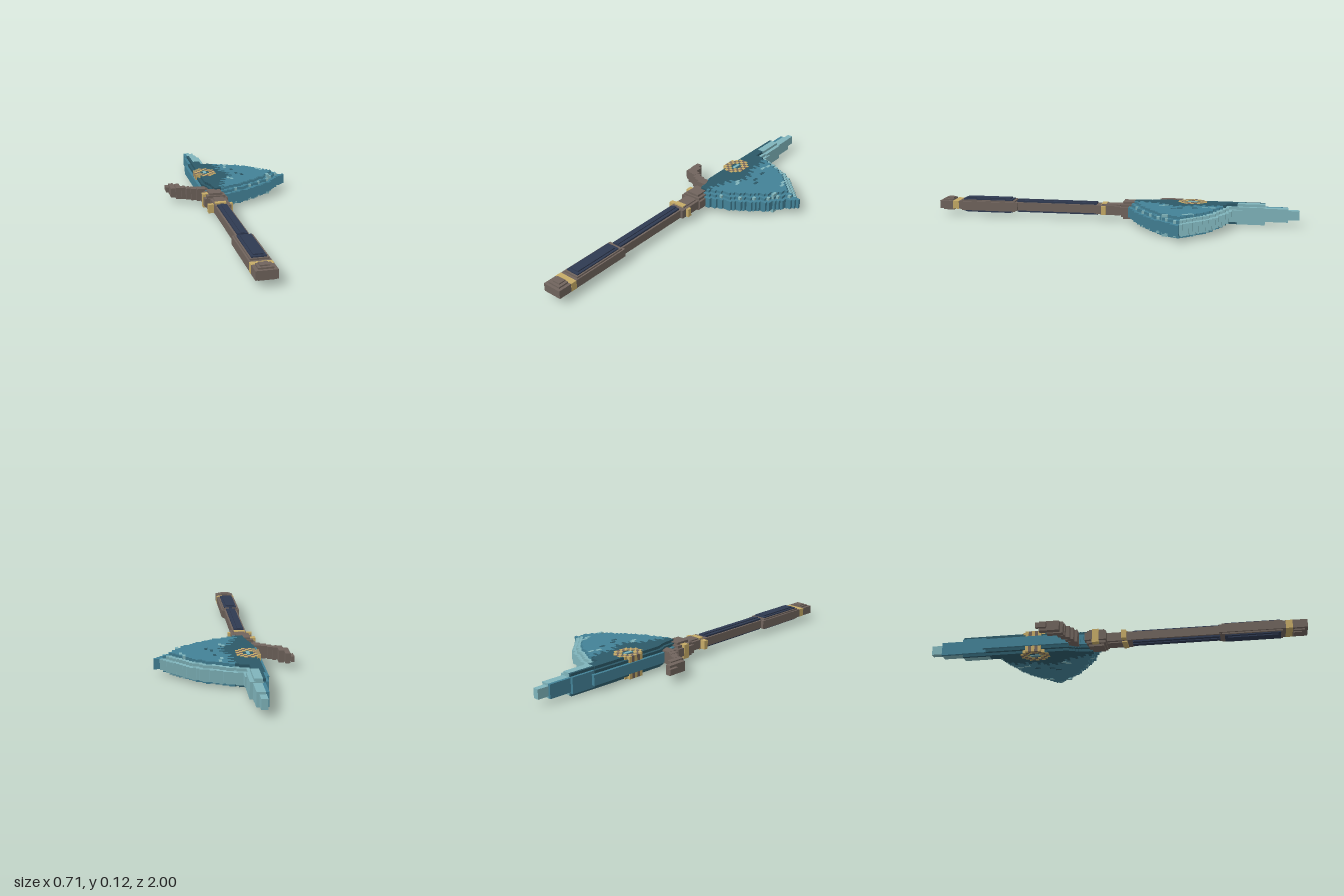
import * as THREE from 'three';
import { mergeGeometries } from 'three/addons/utils/BufferGeometryUtils.js';

const MID = 0.0565; // height of the symmetry plane
const S = 0.0155;   // voxel size

const mat = (name, color) => new THREE.MeshStandardMaterial({ name, color });

// Box from x, y and z ranges
function box(x0, x1, y0, y1, z0, z1) {
  const g = new THREE.BoxGeometry(x1 - x0, y1 - y0, z1 - z0);
  return g.translate((x0 + x1) / 2, (y0 + y1) / 2, (z0 + z1) / 2);
}
// Box centred on the symmetry plane, with half height h
const slab = (x0, x1, h, z0, z1) => box(x0, x1, MID - h, MID + h, z0, z1);

// Piecewise linear lookup of [z, x] points
function lookup(points, z) {
  for (let i = 1; i < points.length; i++) {
    const [z0, x0] = points[i - 1], [z1, x1] = points[i];
    if (z >= z0 && z <= z1) return x0 + (x1 - x0) * (z - z0) / (z1 - z0);
  }
  return -Infinity;
}

const CUTTING_EDGE = [
  [-0.705, -0.055], [-0.645, -0.055], [-0.63, 0], [-0.6, 0.07], [-0.57, 0.14], [-0.53, 0.205],
  [-0.48, 0.25], [-0.43, 0.295], [-0.385, 0.352], [-0.34, 0.3], [-0.29, 0.265], [-0.24, 0.22],
  [-0.19, 0.15], [-0.14, 0.075], [-0.11, 0], [-0.085, -0.055],
];
const BACK_EDGE = [[-0.705, -0.175], [-0.25, -0.175], [-0.2, -0.155], [-0.085, -0.142]];
const DARK_EDGE = [
  [-0.705, -0.07], [-0.62, -0.04], [-0.55, -0.01], [-0.47, -0.02], [-0.4, 0.015],
  [-0.33, 0.02], [-0.27, -0.03], [-0.18, -0.06], [-0.085, -0.09],
];

export function createModel() {
  const mats = {
    brown: mat('brown leather', 0x70645d),
    navy: mat('navy wrap', 0x2f3a52),
    gold: mat('gold', 0xc6ab67),
    teal: mat('teal blade', 0x438297),
    dark: mat('dark teal', 0x2c5968),
    light: mat('light teal edge', 0x7fb4bb),
  };
  const model = new THREE.Group();
  const add = (name, material, ...geos) => {
    if (!geos.length) return;
    const mesh = new THREE.Mesh(mergeGeometries(geos), mats[material]);
    mesh.name = name;
    model.add(mesh);
  };

  // Stepped blade: a thick core and two inset layers on each face
  const blade = { teal: [], dark: [], light: [] };
  const right = (z, k) => {
    const xs = [z - k * S, z, z + k * S].map((q) => lookup(CUTTING_EDGE, q));
    return Math.round((Math.min(...xs) - k * S) / S) * S;
  };
  const layers = [[0, 0, 0.027], [1, 0.027, 0.042], [2, 0.042, 0.0565]];
  for (let row = 0; row < 40; row++) {
    const z0 = -0.705 + row * S, z = z0 + S / 2;
    for (const [k, h0, h1] of layers) {
      const x1 = right(z, k), x0 = lookup(BACK_EDGE, z) + k * S;
      if (!(x1 > x0)) continue;
      const put = (color, a, b) => {
        if (b - a < 0.001) return;
        if (k === 0) blade[color].push(slab(a, b, h1, z0, z0 + S));
        else for (const s of [-1, 1]) {
          const ya = MID + s * h0, yb = MID + s * h1;
          blade[color].push(box(a, b, Math.min(ya, yb), Math.max(ya, yb), z0, z0 + S));
        }
      };
      // bright rim along the rear half of the cutting edge
      const rear = z < -0.4;
      const prev = right(z - S, k);
      let rim = x1;
      if (k < 2 && rear) rim = Math.max(x0, Math.min(x1, Number.isFinite(prev) ? prev : x1) - S);
      else if (k === 1 && row % 3 === 0) rim = Math.max(x0, x1 - S);
      // ragged border between the dark and the bright face
      const jag = Math.round(Math.sin(row * 2.3) * 1.3) * S;
      const d = k === 0 ? x0 : Math.min(rim, Math.max(x0, lookup(DARK_EDGE, z) + jag));
      put('dark', x0, d);
      put('teal', d, rim);
      put('light', rim, x1);
    }
  }
  add('bladeBody', 'teal', ...blade.teal);
  add('bladeShade', 'dark', ...blade.dark);
  add('bladeRim', 'light', ...blade.light);

  // Flecks on both blade faces
  const flecks = { light: [], dark: [] };
  const spots = [
    [0.2, -0.46, 'light'], [0.215, -0.43, 'light'], [0.23, -0.33, 'light'], [-0.005, -0.31, 'light'],
    [0.01, -0.29, 'light'], [0.02, -0.52, 'light'], [0.06, -0.39, 'dark'], [0.05, -0.47, 'dark'],
    [0.085, -0.36, 'dark'], [0.03, -0.56, 'light'],
  ];
  for (const [x, z, c] of spots)
    flecks[c].push(slab(x, x + S, 0.0575, z, z + 2 * S));
  add('lightFlecks', 'light', ...flecks.light);
  add('darkFlecks', 'dark', ...flecks.dark);

  // Tapering spike behind the blade
  add('spikeSpine', 'teal',
    slab(-0.157, -0.135, 0.042, -0.82, -0.68), slab(-0.142, -0.127, 0.036, -0.94, -0.82));
  add('spikeRidge', 'dark', slab(-0.143, -0.13, 0.0565, -0.82, -0.67));
  add('spike', 'light',
    slab(-0.135, -0.07, 0.042, -0.82, -0.68), slab(-0.13, -0.09, 0.0562, -0.819, -0.67),
    slab(-0.127, -0.085, 0.036, -0.94, -0.82), slab(-0.13, -0.098, 0.025, -1, -0.94));

  // Round emblem on both faces
  const ring = { gold: [], brown: [], light: [] };
  const cell = 0.017;
  for (let i = -3; i <= 3; i++) for (let j = -4; j <= 4; j++) {
    const r = Math.hypot(i * 1.25, j);
    if (r > 4.3 || (r > 1.2 && r < 2.3)) continue;
    const c = r <= 1.2 ? 'light' : (i + j) % 2 ? 'gold' : 'brown';
    const x = -0.108 + i * cell, z = -0.43 + j * cell;
    ring[c].push(slab(x - cell / 2, x + cell / 2, 0.059, z - cell / 2, z + cell / 2));
  }
  add('emblemGold', 'gold', ...ring.gold);
  add('emblemBrown', 'brown', ...ring.brown);
  add('emblemGem', 'light', ...ring.light);

  // Curved hook opposite the blade
  const hook = [
    [-0.352, -0.335, 0.014, -0.375, -0.32], [-0.335, -0.308, 0.026, -0.36, -0.255],
    [-0.308, -0.28, 0.032, -0.325, -0.24], [-0.28, -0.255, 0.033, -0.275, -0.235],
    [-0.255, -0.23, 0.032, -0.262, -0.215], [-0.23, -0.2, 0.033, -0.245, -0.2],
    [-0.2, -0.13, 0.034, -0.235, -0.185],
  ];
  add('hook', 'brown', ...hook.map((b) => slab(...b)));

  // Guard and neck below the blade
  add('guard', 'brown',
    slab(-0.185, -0.06, 0.022, -0.15, -0.075), slab(-0.186, -0.058, 0.022, -0.075, -0.035),
    slab(-0.172, -0.07, 0.036, -0.14, -0.04), slab(-0.157, -0.085, 0.048, -0.13, -0.05),
    slab(-0.157, -0.07, 0.024, -0.035, 0.1), slab(-0.143, -0.085, 0.03, -0.035, 0.07));
  add('guardTrim', 'gold', slab(-0.188, -0.14, 0.0375, -0.11, -0.075));
  add('collar', 'gold', slab(-0.187, -0.055, 0.0235, 0.045, 0.07), slab(-0.15, -0.09, 0.032, 0.045, 0.072));

  // Shaft with raised wrap
  add('shaft', 'brown', slab(-0.157, -0.085, 0.023, 0.1, 0.56));
  add('shaftWrap', 'navy', slab(-0.147, -0.095, 0.032, 0.1, 0.555), slab(-0.13, -0.112, 0.037, 0.1, 0.555));

  // Grip, band and pommel
  add('grip', 'brown', slab(-0.174, -0.069, 0.022, 0.55, 0.89), slab(-0.166, -0.077, 0.03, 0.565, 0.875));
  add('gripWrap', 'navy', slab(-0.158, -0.085, 0.036, 0.58, 0.865), slab(-0.146, -0.097, 0.042, 0.595, 0.85));
  add('pommelBand', 'gold', slab(-0.175, -0.068, 0.0225, 0.89, 0.925));
  add('pommel', 'brown', slab(-0.174, -0.069, 0.022, 0.925, 1),
    slab(-0.158, -0.085, 0.03, 0.927, 0.985), slab(-0.146, -0.1, 0.036, 0.93, 0.97));

  return model;
}
